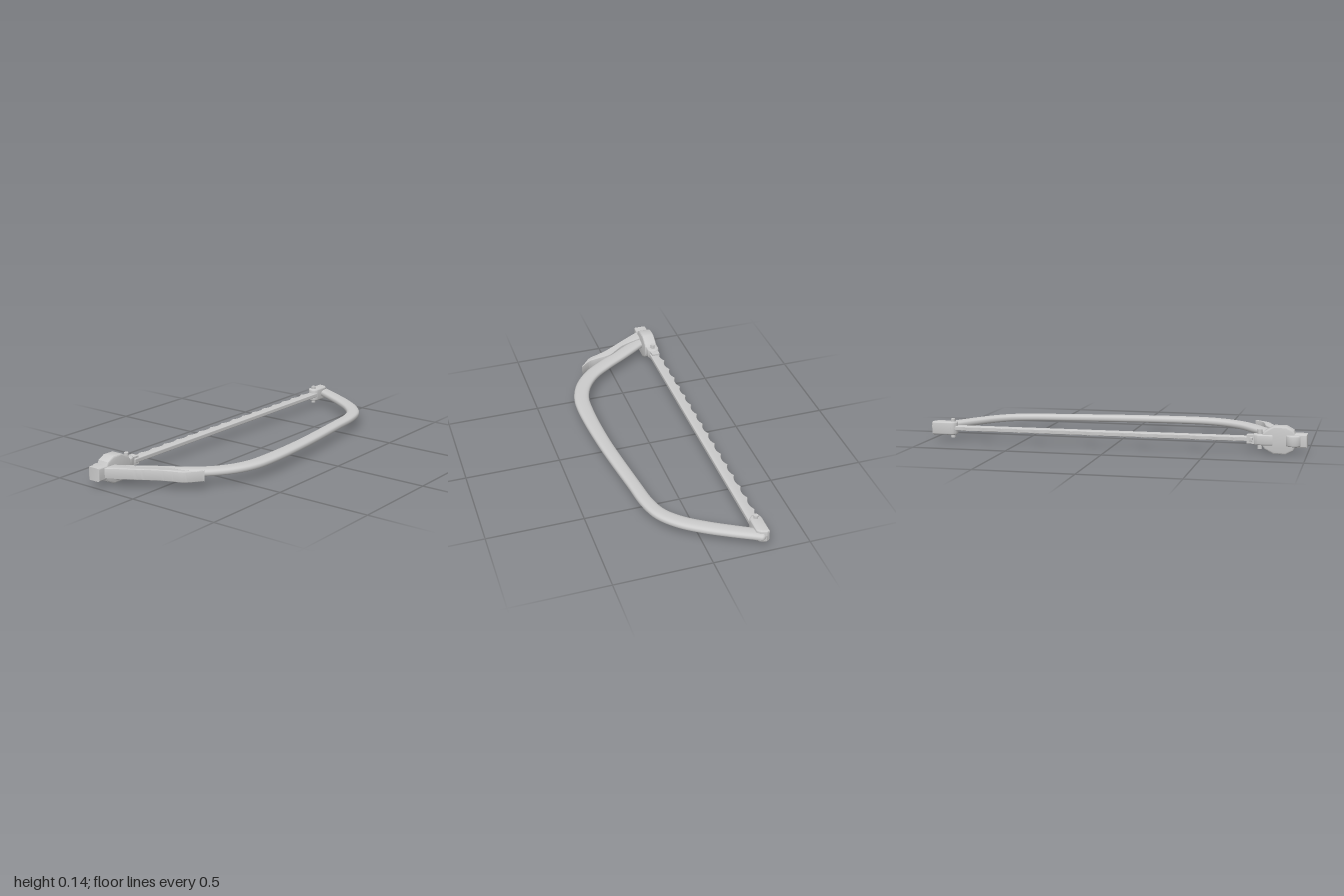
import * as THREE from 'three';
import { toCreasedNormals } from 'three/addons/utils/BufferGeometryUtils.js';

const MID = 0.073; // height of the saw's flat middle plane
const PIN_Z = -0.264;
const material = new THREE.MeshStandardMaterial({ color: 0xcccccc });
const vec = (pts) => pts.map(([x, y]) => new THREE.Vector2(x, y));

function add(parent, name, geometry) {
  const mesh = new THREE.Mesh(geometry, material);
  mesh.name = name;
  parent.add(mesh);
  return mesh;
}

// Extrusion with softened edges that stays inside its outline
function extrude(shape, depth, bevel) {
  const geo = new THREE.ExtrudeGeometry(shape, {
    depth: depth - 2 * bevel, bevelEnabled: true, bevelThickness: bevel, bevelSize: bevel,
    bevelOffset: -bevel, bevelSegments: 3, curveSegments: 10,
  });
  geo.translate(0, 0, bevel - depth / 2);
  return toCreasedNormals(geo, 0.6);
}

// Flat part: outline drawn in x and -z, thickness centred on the middle plane
function slab(shape, thickness, bevel) {
  return extrude(shape, thickness, bevel).rotateX(-Math.PI / 2).translate(0, MID, 0);
}

// Oval section swept along a flat path, with domed ends
function sweptFrame(path, halfHeight) {
  const curve = new THREE.CatmullRomCurve3(
    path.map(([x, z]) => new THREE.Vector3(x, MID, z)), false, 'centripetal');
  const widths = path.map((p) => p[2]);
  const steps = 100, sides = 24, dome = 6, rings = [];
  for (let k = 0; k < dome; k++) {
    const a = (k / dome) * Math.PI / 2;
    rings.push([0, Math.sin(a), -Math.cos(a)]);
  }
  for (let i = 0; i <= steps; i++) rings.push([i / steps, 1, 0]);
  for (let k = dome - 1; k >= 0; k--) {
    const a = (k / dome) * Math.PI / 2;
    rings.push([1, Math.sin(a), Math.cos(a)]);
  }
  const pos = [], index = [], up = new THREE.Vector3(0, 1, 0);
  rings.forEach(([u, scale, push], i) => {
    const c = curve.getPointAt(u), t = curve.getTangentAt(u);
    const side = new THREE.Vector3().crossVectors(t, up);
    const f = curve.getUtoTmapping(u) * (path.length - 1);
    const n = Math.min(Math.floor(f), path.length - 2);
    const halfWidth = THREE.MathUtils.lerp(widths[n], widths[n + 1], f - n) / 2;
    c.addScaledVector(t, push * 0.02);
    for (let j = 0; j < sides; j++) {
      const a = (j / sides) * Math.PI * 2, round = (v) => Math.sign(v) * Math.abs(v) ** 0.75;
      const p = c.clone()
        .addScaledVector(side, round(Math.cos(a)) * halfWidth * scale)
        .addScaledVector(up, round(Math.sin(a)) * halfHeight * scale);
      pos.push(p.x, p.y, p.z);
      if (i < rings.length - 1) {
        const a0 = i * sides + j, b0 = i * sides + ((j + 1) % sides);
        index.push(a0, a0 + sides, b0, b0, a0 + sides, b0 + sides);
      }
    }
  });
  const geo = new THREE.BufferGeometry();
  geo.setAttribute('position', new THREE.Float32BufferAttribute(pos, 3));
  geo.setIndex(index);
  geo.computeVertexNormals();
  return geo;
}

// Pivot pin through a clamp, with a thin washer on each face
function addPin(parent, name, x) {
  add(parent, name, new THREE.CylinderGeometry(0.012, 0.012, 0.1, 20)).position.set(x, MID, PIN_Z);
}

export function createModel() {
  const saw = new THREE.Group();
  saw.name = 'bowSaw';

  // Bowed frame: x, z, width
  add(saw, 'frame', sweptFrame([
    [0.957, -0.265, 0.068], [0.89, -0.14, 0.072], [0.82, -0.02, 0.074], [0.745, 0.083, 0.074],
    [0.66, 0.155, 0.072], [0.56, 0.19, 0.07], [0.4, 0.212, 0.068], [0, 0.259, 0.074],
    [-0.3, 0.272, 0.084], [-0.42, 0.262, 0.084], [-0.53, 0.222, 0.084], [-0.63, 0.148, 0.082],
    [-0.71, 0.045, 0.08], [-0.79, -0.08, 0.078], [-0.91, -0.255, 0.076],
  ], 0.0195));

  // Blade with a scalloped cutting edge
  const blade = new THREE.Shape();
  const x0 = -0.73, x1 = 0.87, teeth = 17, pitch = (x1 - x0) / teeth;
  blade.moveTo(x0, 0.234);
  blade.lineTo(x1, 0.234);
  blade.lineTo(x1, 0.296);
  for (let i = 1; i <= teeth; i++) {
    const x = x1 - i * pitch;
    blade.quadraticCurveTo(x + pitch / 2, 0.268, x, 0.296);
  }
  blade.closePath();
  add(saw, 'blade', slab(blade, 0.024, 0.006));

  // Right clamp, rounded about its pin
  const clamp = new THREE.Shape();
  clamp.moveTo(0.97, 0.295);
  clamp.lineTo(0.87, 0.295);
  clamp.absarc(0.87, 0.264, 0.031, Math.PI / 2, Math.PI * 1.5);
  clamp.lineTo(0.95, 0.233);
  clamp.quadraticCurveTo(0.972, 0.245, 0.977, 0.28);
  clamp.closePath();
  add(saw, 'frontClamp', slab(clamp, 0.07, 0.008));
  addPin(saw, 'frontPin', 0.865);

  // Left clamp: square heel and wide faceted grip, one silhouette pulled through its depth
  const half = [[-1, 0.034], [-0.94, 0.034], [-0.932, 0.05], [-0.895, 0.07], [-0.835, 0.07],
    [-0.79, 0.046], [-0.775, 0.027]];
  const outline = [...half.map(([x, h]) => [x, -h]), ...half.slice().reverse()];
  const grip = extrude(new THREE.Shape(vec(outline)), 0.07, 0.007).translate(0, MID, -0.258);
  add(saw, 'rearClamp', grip);

  // Rounded nose of the left clamp
  const nose = new THREE.Shape();
  nose.moveTo(-0.83, 0.231);
  nose.lineTo(-0.76, 0.231);
  nose.absarc(-0.76, 0.264, 0.033, -Math.PI / 2, Math.PI / 2);
  nose.lineTo(-0.83, 0.297);
  nose.closePath();
  add(saw, 'rearClampNose', slab(nose, 0.054, 0.006));
  add(saw, 'bladeSocket', new THREE.BoxGeometry(0.05, 0.044, 0.045)).position.set(-0.723, MID, PIN_Z);
  addPin(saw, 'rearPin', -0.763);

  // Tension lever: cam head, then a plate that hugs the frame and flicks out to a tip
  const lever = new THREE.Group();
  lever.name = 'tensionLever';
  saw.add(lever);
  const plate = new THREE.Shape();
  plate.moveTo(-0.975, 0.25);
  plate.splineThru(vec([[-0.9, 0.125], [-0.825, 0.005], [-0.79, -0.07], [-0.765, -0.125], [-0.69, -0.186]]));
  plate.splineThru(vec([[-0.735, -0.13], [-0.752, -0.07], [-0.772, 0.01], [-0.845, 0.11], [-0.895, 0.25]]));
  plate.closePath();
  add(lever, 'leverPlate', slab(plate, 0.056, 0.003));
  const cam = new THREE.Shape();
  cam.absellipse(-0.932, 0.272, 0.042, 0.044, 0, Math.PI * 2);
  add(lever, 'leverCam', slab(cam, 0.056, 0.006));

  return saw;
}
